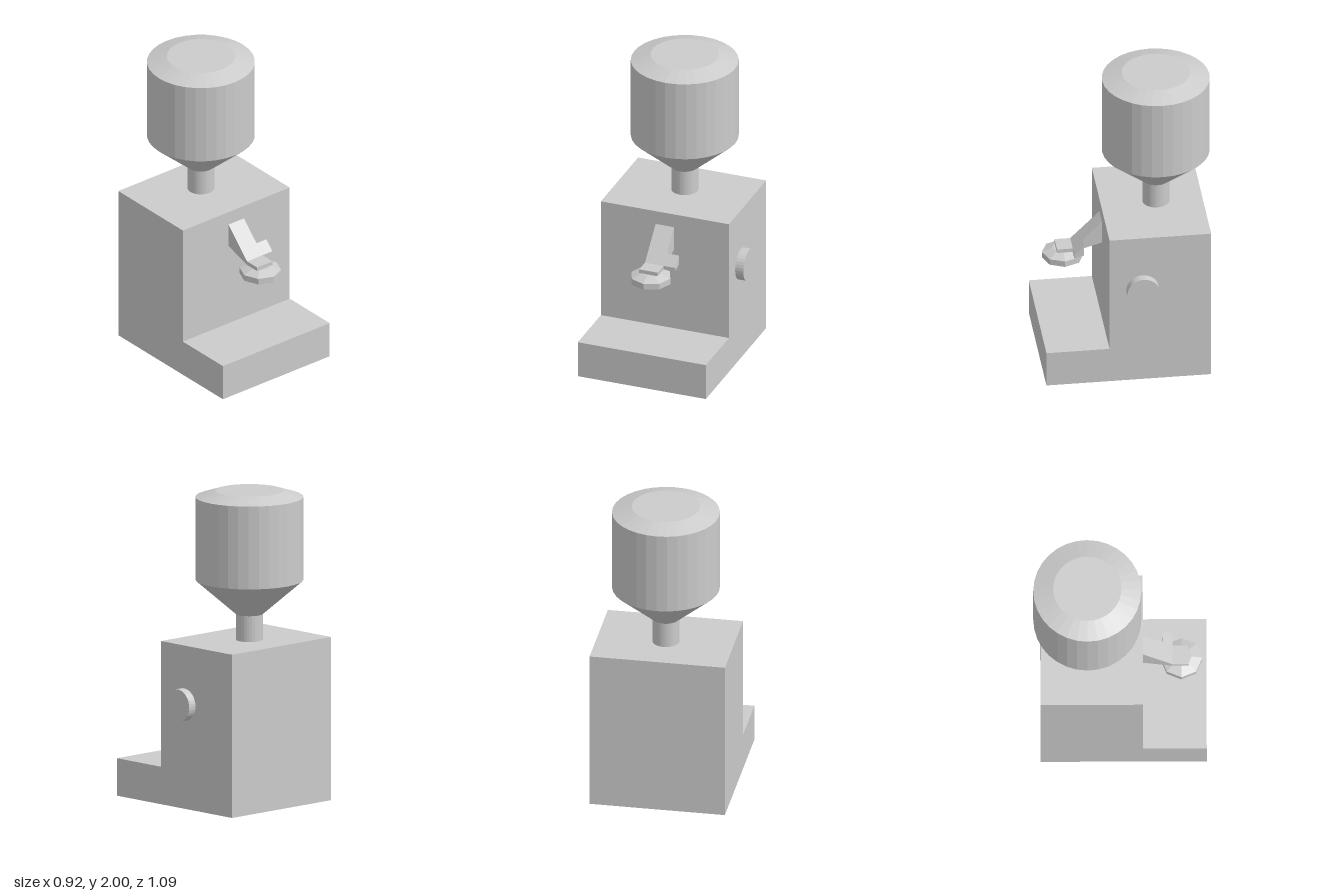
import * as THREE from 'three';

const material = new THREE.MeshStandardMaterial({ color: 0xcccccc, flatShading: true });

function add(group, name, geometry) {
  const mesh = new THREE.Mesh(geometry, material);
  mesh.name = name;
  group.add(mesh);
  return mesh;
}

// Side profile given as [z, y] points, extruded across from x0 to x1
function sideExtrude(points, x0, x1) {
  const shape = new THREE.Shape(points.map(([z, y]) => new THREE.Vector2(z, y)));
  const geometry = new THREE.ExtrudeGeometry(shape, { depth: x1 - x0, bevelEnabled: false });
  return geometry.rotateY(-Math.PI / 2).translate(x1, 0, 0);
}

// Turned part given as [radius, y] points from bottom to top
function turned(points, sides) {
  return new THREE.LatheGeometry(points.map(([r, y]) => new THREE.Vector2(r, y)), sides);
}

export function createModel() {
  const group = new THREE.Group();
  group.name = 'grinder';

  // L-shaped housing with a low front ledge
  add(group, 'housing', sideExtrude([
    [-0.5, 0], [0.545, 0], [0.545, 0.24], [0.145, 0.24], [0.145, 1.045], [-0.5, 1.045],
  ], -0.46, 0.405));

  // Hopper with neck, funnel and chamfered lid
  add(group, 'hopper', turned([
    [0, 1.045], [0.085, 1.045], [0.085, 1.21], [0.34, 1.43], [0.34, 1.96], [0.215, 2], [0, 2],
  ], 32)).position.set(-0.03, 0, -0.205);

  // Side knob
  add(group, 'sideKnob', new THREE.CylinderGeometry(0.103, 0.103, 0.055, 32).rotateZ(-Math.PI / 2))
    .position.set(0.4325, 0.668, -0.065);

  // Sloping spout arm and the small tab on its side
  add(group, 'spoutArm', sideExtrude([
    [0.145, 0.8], [0.33, 0.745], [0.43, 0.745], [0.43, 0.77], [0.33, 0.77], [0.145, 0.955],
  ], -0.09, 0.035));
  add(group, 'spoutTab', sideExtrude([
    [0.27, 0.763], [0.33, 0.745], [0.33, 0.77], [0.27, 0.83],
  ], 0.035, 0.115));

  // Eight-sided outlet under the arm
  add(group, 'outlet', turned([
    [0, 0.68], [0.131, 0.68], [0.131, 0.72], [0.065, 0.745], [0, 0.745],
  ], 8)).position.set(-0.028, 0, 0.387);

  return group;
}
